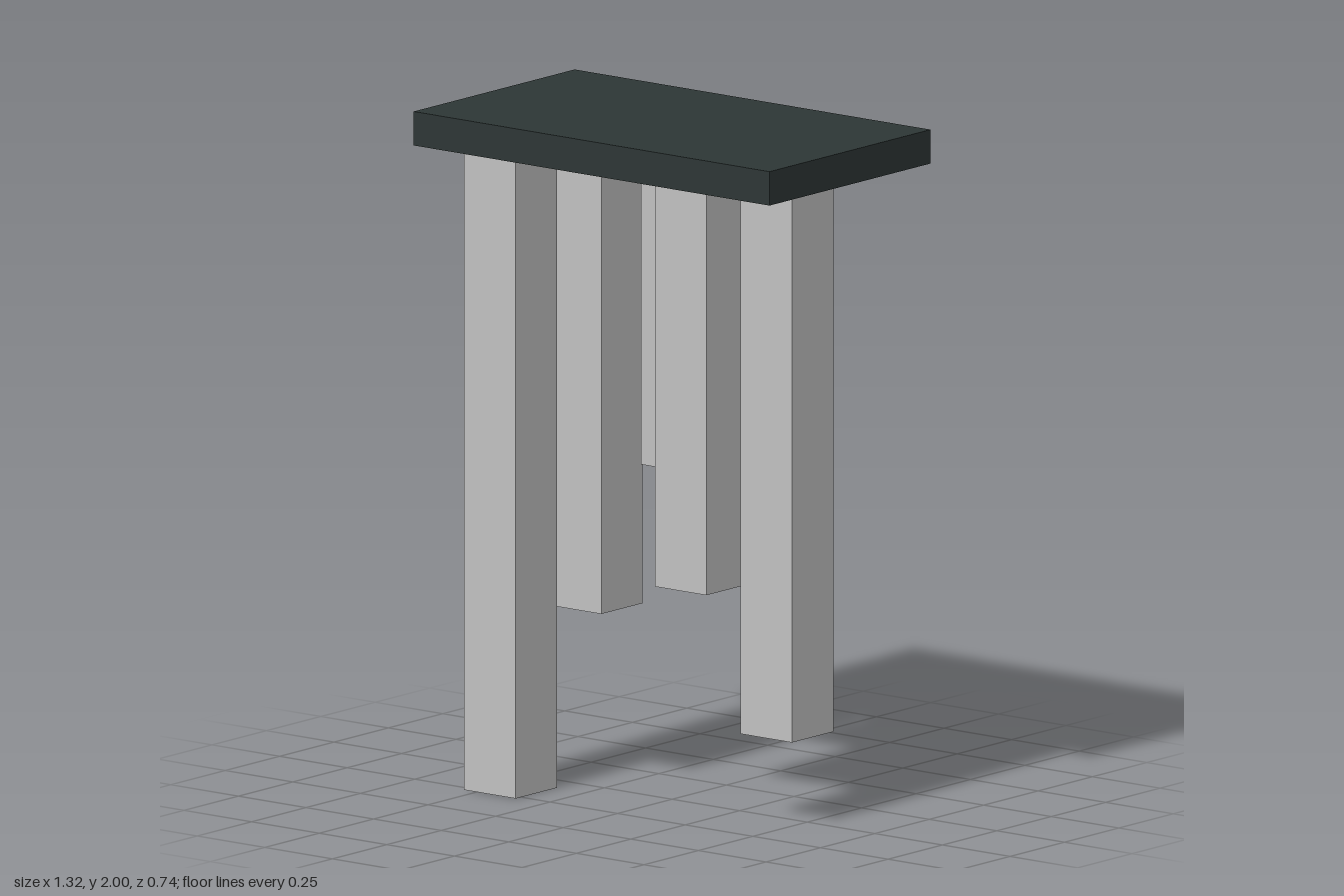
import * as THREE from 'three';

export function createModel() {
  const model = new THREE.Group();
  const darkSlate = new THREE.MeshStandardMaterial({ color: 0x2d3635 });
  darkSlate.name = 'dark slate';
  const lightGrey = new THREE.MeshStandardMaterial({ color: 0xc0c0c0 });
  lightGrey.name = 'light grey';

  const addBox = (name, material, size, position) => {
    const mesh = new THREE.Mesh(new THREE.BoxGeometry(...size), material);
    mesh.name = name;
    mesh.position.set(...position);
    model.add(mesh);
  };

  // Top slab
  const underside = 1.9;
  addBox('topSlab', darkSlate, [1.316, 0.1, 0.74], [0, 1.95, 0]);

  // Square posts of uneven length hanging from the slab: name, x, z, bottom
  const width = 0.19;
  const posts = [
    ['postFrontRight', -0.452, 0.18, 0],
    ['postMiddleRight', -0.3, -0.025, 0.53],
    ['postBackCentre', -0.096, -0.19, 0.945],
    ['postCentre', 0.11, 0.002, 0.645],
    ['postBackLeft', 0.273, -0.19, 0.42],
    ['postMiddleLeft', 0.445, 0.025, 0.26],
  ];
  for (const [name, x, z, bottom] of posts) {
    const height = underside - bottom;
    addBox(name, lightGrey, [width, height, width], [x, bottom + height / 2, z]);
  }
  return model;
}
